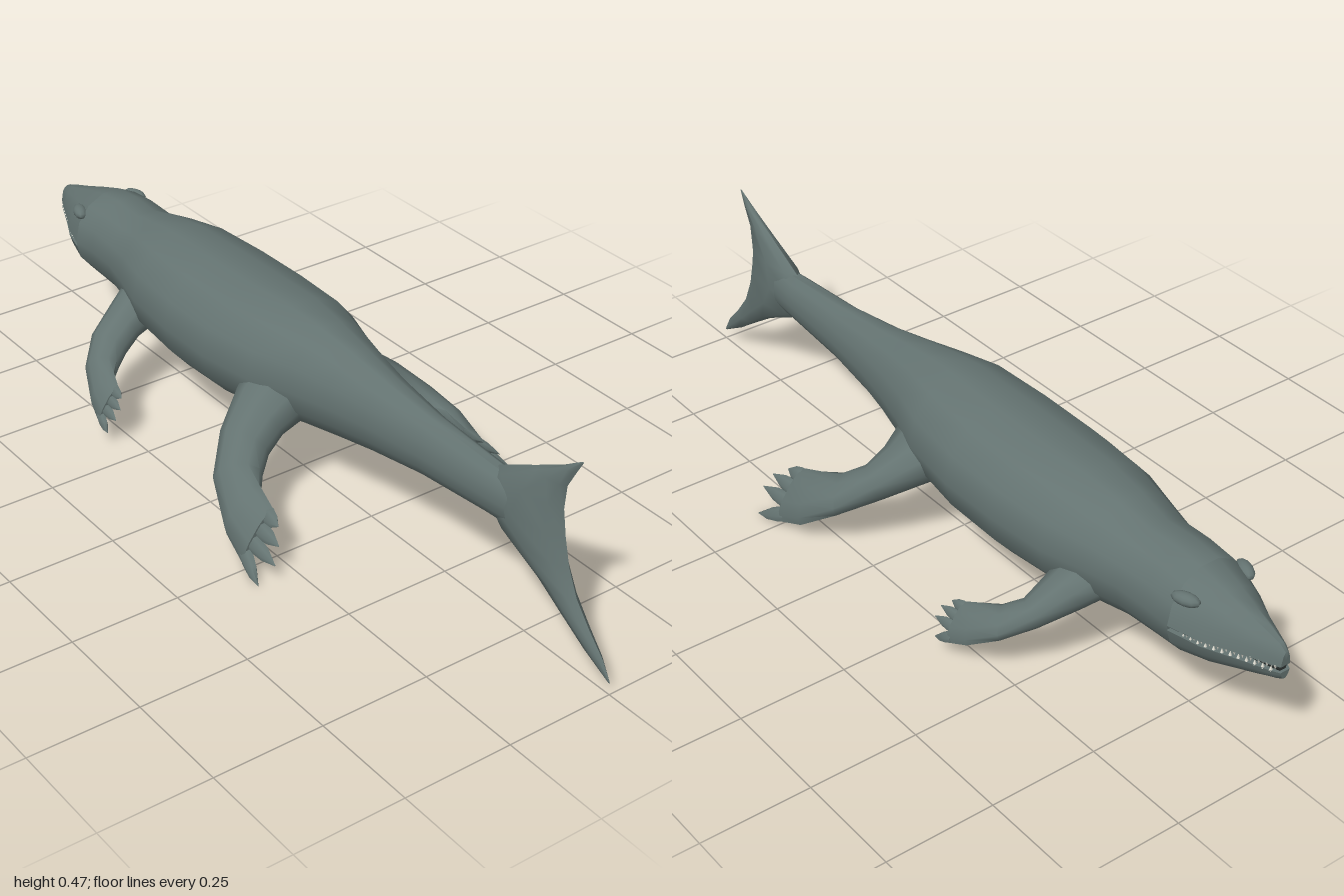
import * as THREE from 'three';
import { toCreasedNormals } from 'three/addons/utils/BufferGeometryUtils.js';

const V = (x, y, z) => new THREE.Vector3(x, y, z);
const SIDES = 14;
const MOUTH_Y = 0.255, MOUTH_BACK = -0.78;

// Skin a list of rings (arrays of points), cap both ends, and face it outward.
function loft(rings, crease = 1.0) {
  const n = rings[0].length, pos = [], idx = [];
  rings.forEach(r => r.forEach(p => pos.push(p.x, p.y, p.z)));
  for (let i = 0; i < rings.length - 1; i++)
    for (let j = 0; j < n; j++) {
      const a = i * n + j, b = i * n + (j + 1) % n;
      idx.push(a, b, a + n, b, b + n, a + n);
    }
  [0, rings.length - 1].forEach(i => {
    const c = rings[i].reduce((s, p) => s.add(p), V(0, 0, 0)).divideScalar(n);
    const k = pos.length / 3;
    pos.push(c.x, c.y, c.z);
    for (let j = 0; j < n; j++) {
      const a = i * n + j, b = i * n + (j + 1) % n;
      if (i === 0) idx.push(k, b, a); else idx.push(k, a, b);
    }
  });
  // signed volume decides the winding
  const at = i => V(pos[3 * i], pos[3 * i + 1], pos[3 * i + 2]);
  let vol = 0;
  for (let i = 0; i < idx.length; i += 3) vol += at(idx[i]).dot(at(idx[i + 1]).cross(at(idx[i + 2])));
  if (vol < 0) idx.reverse();
  const g = new THREE.BufferGeometry();
  g.setAttribute('position', new THREE.Float32BufferAttribute(pos, 3));
  g.setIndex(idx);
  return toCreasedNormals(g, crease);
}

// Ellipse ring around c with half axes u and v.
const ring = (c, u, v, n = 10) => Array.from({ length: n }, (_, j) => {
  const a = j / n * Math.PI * 2;
  return c.clone().addScaledVector(u, Math.cos(a)).addScaledVector(v, Math.sin(a));
});

// Body ring: z, half width, top, bottom, height of the widest point.
const bodyRing = ([z, w, top, bot, mid]) => Array.from({ length: SIDES }, (_, j) => {
  const a = j / SIDES * Math.PI * 2, s = Math.sin(a);
  return V(Math.cos(a) * w, mid + s * (s > 0 ? top - mid : mid - bot), z);
});

const HEAD = [
  [-1.0, 0.012, 0.295, 0.23, 0.255], [-0.985, 0.02, 0.308, 0.222, 0.255],
  [-0.95, 0.035, 0.32, 0.21, 0.255], [-0.9, 0.057, 0.335, 0.195, 0.255],
  [-0.85, 0.081, 0.352, 0.18, 0.258], [MOUTH_BACK, 0.103, 0.374, 0.165, 0.265]];
const BODY = [HEAD[5],
  [-0.71, 0.104, 0.381, 0.16, 0.27], [-0.63, 0.107, 0.376, 0.156, 0.27],
  [-0.55, 0.125, 0.395, 0.145, 0.27], [-0.45, 0.152, 0.409, 0.13, 0.27],
  [-0.3, 0.165, 0.412, 0.12, 0.27], [-0.15, 0.165, 0.415, 0.128, 0.27],
  [0, 0.148, 0.42, 0.15, 0.275], [0.1, 0.113, 0.41, 0.165, 0.28],
  [0.2, 0.086, 0.393, 0.178, 0.28], [0.3, 0.066, 0.375, 0.193, 0.28],
  [0.45, 0.047, 0.357, 0.214, 0.28], [0.64, 0.038, 0.345, 0.229, 0.285],
  [0.75, 0.028, 0.34, 0.23, 0.285], [0.83, 0.01, 0.31, 0.25, 0.28]];

// Tail fin slices: y, leading z, trailing z, half thickness.
const FIN = [
  [0.028, 0.994, 1.0, 0.001], [0.07, 0.92, 0.975, 0.009], [0.115, 0.855, 0.932, 0.015],
  [0.165, 0.78, 0.892, 0.02], [0.225, 0.66, 0.865, 0.03], [0.285, 0.6, 0.85, 0.034],
  [0.345, 0.65, 0.84, 0.027], [0.4, 0.755, 0.845, 0.015], [0.44, 0.83, 0.866, 0.008],
  [0.472, 0.879, 0.884, 0.001]];

// Limb stations: centre, half-width axis, half-thickness axis; then toe tips.
const HIND = {
  rings: [
    [[0.06, 0.25, 0.02], [0, 0, 0.1], [0.03, 0.065, 0]],
    [[0.135, 0.208, 0.028], [0, -0.01, 0.074], [0.028, 0.05, 0]],
    [[0.2, 0.168, 0.062], [-0.022, 0.003, 0.048], [0.025, 0.04, -0.008]],
    [[0.255, 0.13, 0.115], [-0.034, 0.025, 0.032], [0.022, 0.028, -0.014]],
    [[0.287, 0.095, 0.18], [-0.037, 0.052, 0.008], [0.022, 0.017, 0]],
    [[0.298, 0.07, 0.25], [-0.038, 0.055, 0.002], [0.012, 0.009, 0]]],
  tips: [[0.275, 0.108, 0.29], [0.296, 0.085, 0.322], [0.315, 0.052, 0.335], [0.344, 0.002, 0.315]]
};
const FORE = {
  rings: [
    [[0.07, 0.225, -0.52], [0, 0, 0.07], [0.025, 0.05, 0]],
    [[0.14, 0.19, -0.508], [0.005, -0.005, 0.054], [0.02, 0.04, 0]],
    [[0.2, 0.155, -0.485], [-0.016, 0.003, 0.038], [0.018, 0.032, -0.008]],
    [[0.245, 0.127, -0.445], [-0.024, 0.02, 0.025], [0.016, 0.022, -0.012]],
    [[0.275, 0.105, -0.395], [-0.026, 0.038, 0.008], [0.014, 0.012, 0]],
    [[0.288, 0.088, -0.35], [-0.026, 0.04, 0.002], [0.009, 0.007, 0]]],
  tips: [[0.273, 0.117, -0.318], [0.288, 0.1, -0.3], [0.302, 0.078, -0.298], [0.315, 0.042, -0.315]]
};

export function createModel() {
  const model = new THREE.Group();
  const mat = (name, color) => Object.assign(new THREE.MeshStandardMaterial({ color }), { name });
  const skin = mat('grey green skin', 0x647371);
  const ivory = mat('ivory teeth', 0xe4e2d6);
  const dark = mat('dark mouth', 0x2e3433);
  const add = (parent, name, geo, m = skin) => {
    const mesh = new THREE.Mesh(geo, m);
    mesh.name = name;
    parent.add(mesh);
    return mesh;
  };

  add(model, 'body', loft(BODY.map(bodyRing)));
  add(model, 'tailFin', loft(FIN.map(([y, z0, z1, t]) =>
    ring(V(0, y, (z0 + z1) / 2), V(0, 0, (z1 - z0) / 2), V(t, 0, 0), 8))));

  // Head split along the mouth line, opening toward the snout
  const gap = z => 0.007 * Math.min(1, (MOUTH_BACK - z) / 0.08);
  const half = (sign, inset = 1) => loft(HEAD.map(s => bodyRing(s).map(p => {
    const edge = MOUTH_Y + sign * gap(p.z);
    p.y = sign > 0 ? Math.max(p.y, edge) : Math.min(p.y, edge);
    return p;
  })), 0.9);
  add(model, 'upperJaw', half(1));
  add(model, 'lowerJaw', half(-1));
  add(model, 'mouthInside', loft(HEAD.map(([z, w]) =>
    ring(V(0, MOUTH_Y, z + 0.006), V(w * 0.82, 0, 0), V(0, 0.012, 0), 8))), dark);

  // Teeth along both jaws
  const widthAt = z => {
    const i = Math.max(1, HEAD.findIndex(s => s[0] >= z));
    const [a, b] = [HEAD[i - 1], HEAD[i]];
    return a[1] + (b[1] - a[1]) * (z - a[0]) / (b[0] - a[0]);
  };
  const teeth = new THREE.Group();
  teeth.name = 'teeth';
  model.add(teeth);
  const tooth = new THREE.ConeGeometry(0.0045, 0.013, 5);
  for (const side of [-1, 1])
    for (let i = 0; i < 12; i++)
      for (const jaw of [-1, 1]) {
        const z = -0.988 + i * 0.0155 + (jaw > 0 ? 0 : 0.0075);
        const t = add(teeth, jaw > 0 ? 'upperTooth' : 'lowerTooth', tooth, ivory);
        t.position.set(side * (widthAt(z) * 0.96 - 0.003), MOUTH_Y + jaw * 0.0025, z);
        if (jaw > 0) t.rotation.x = Math.PI;
      }

  for (const side of [-1, 1]) {
    const prefix = side > 0 ? 'left' : 'right';
    const P = ([x, y, z]) => V(side * x, y, z);

    // Brow over each eye
    const brow = add(model, prefix + 'Brow', new THREE.SphereGeometry(1, 10, 8));
    brow.scale.set(0.016, 0.014, 0.032);
    brow.position.set(side * 0.077, 0.331, -0.8);
    brow.rotation.y = side * 0.35;

    // Paddle limbs with pointed toes
    for (const [name, limb] of [['HindLimb', HIND], ['ForeLimb', FORE]]) {
      const group = new THREE.Group();
      group.name = prefix + name;
      model.add(group);
      add(group, 'limb', loft(limb.rings.map(([c, u, v]) => ring(P(c), P(u), P(v)))));
      const [c, u, v] = limb.rings[5].map(P);
      limb.tips.forEach((tip, i) => {
        const root = c.clone().addScaledVector(u, 0.72 - i * 0.48);
        const end = P(tip), back = root.clone().lerp(end, -0.3);
        const at = (p, k) => ring(p, u.clone().multiplyScalar(0.3 * k), v.clone().multiplyScalar(0.8 * k), 6);
        add(group, 'toe', loft([at(back, 0.9), at(root, 1), at(root.clone().lerp(end, 0.5), 0.75), at(end, 0.05)]));
      });
    }
  }
  return model;
}
